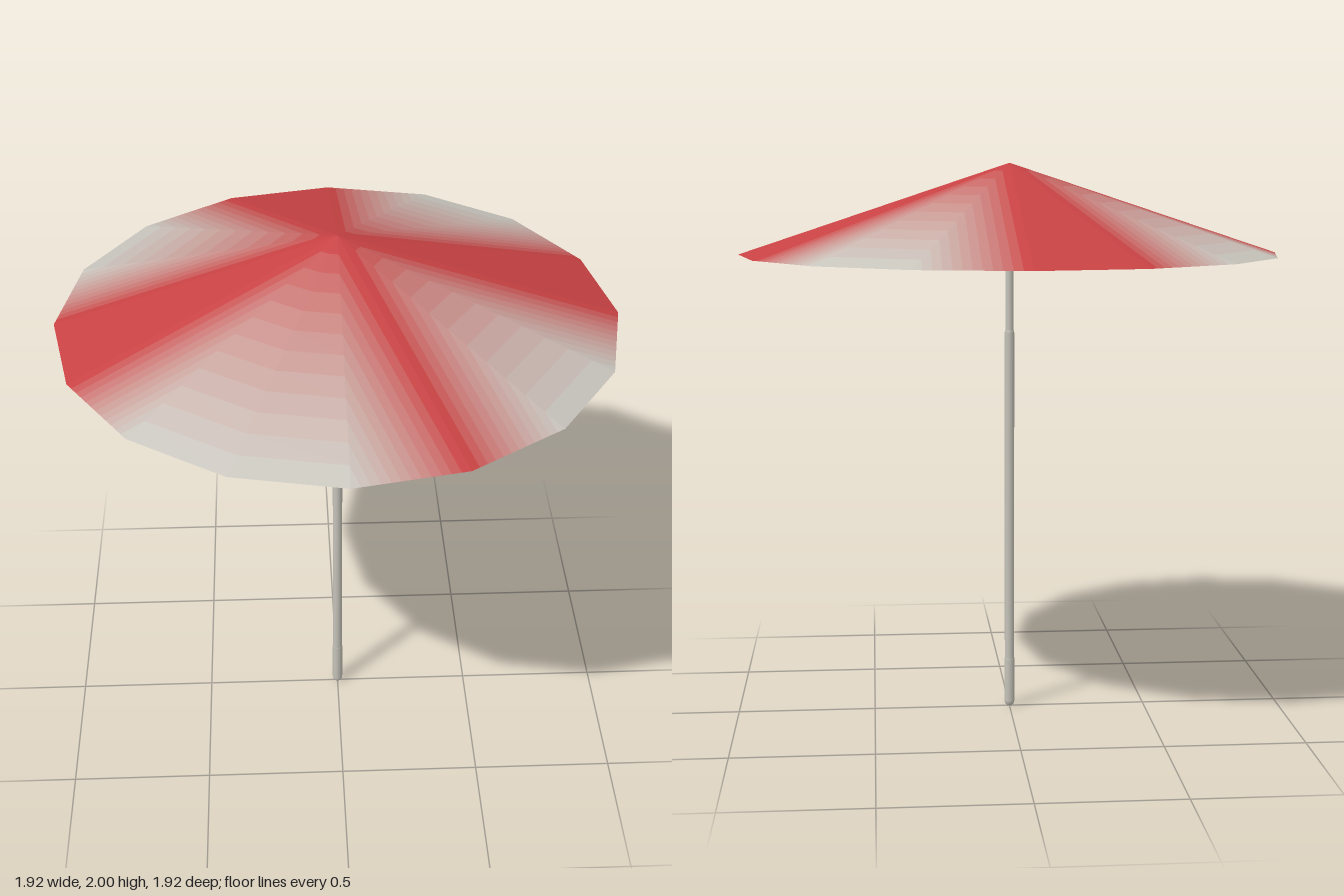
import * as THREE from 'three';

const SIDES = 16, RADIUS = 0.962, RIM_Y = 1.68, TOP_Y = 2, BANDS = 12;
const RED = new THREE.Color(0xc83236), GREY = new THREE.Color(0xc8c8c0);
// Rim corners that are red; the others are grey, and the peak is red
const RED_CORNERS = [0, 3, 7, 8, 11, 12, 15];

const apex = new THREE.Vector3(0, TOP_Y, 0);
const isRed = (k) => RED_CORNERS.includes(k % SIDES);
const corner = (k) => {
  const a = (k / SIDES) * Math.PI * 2;
  return new THREE.Vector3(Math.cos(a) * RADIUS, RIM_Y, Math.sin(a) * RADIUS);
};
const mix = (a, b, t) => new THREE.Vector3().lerpVectors(a, b, t);

// Canopy: flat panels, each cut into bands that fade from red to grey
function createCanopy() {
  const canopy = new THREE.Group();
  canopy.name = 'canopy';
  const bands = Array.from({ length: BANDS }, () => []);

  for (let k = 0; k < SIDES; k++) {
    const p = corner(k), q = corner(k + 1);
    const redP = isRed(k), redQ = isRed(k + 1);
    if (redP && redQ) {
      bands[0].push(apex, q, p);
      continue;
    }
    // Both ends of the line of equal colour at fade t
    const endQ = (t) => (redQ ? mix(q, p, t) : mix(apex, q, t));
    const endP = (t) => (redP ? mix(p, q, t) : mix(apex, p, t));
    for (let i = 0; i < BANDS; i++) {
      const t0 = i / BANDS, t1 = (i + 1) / BANDS;
      const a0 = endQ(t0), a1 = endQ(t1), b0 = endP(t0), b1 = endP(t1);
      if (a1.distanceTo(b1) > 1e-6) bands[i].push(a0, a1, b1);
      if (a0.distanceTo(b0) > 1e-6) bands[i].push(a0, b1, b0);
    }
  }

  bands.forEach((points, i) => {
    const geometry = new THREE.BufferGeometry().setFromPoints(points);
    geometry.computeVertexNormals();
    const material = new THREE.MeshStandardMaterial({ side: THREE.DoubleSide });
    material.color.lerpColors(RED, GREY, (i + 0.5) / BANDS);
    const mesh = new THREE.Mesh(geometry, material);
    mesh.name = `canopyFade${i + 1}`;
    canopy.add(mesh);
  });
  return canopy;
}

// Pole sections are turned from (radius, height) profiles
function turned(name, profile) {
  const points = profile.map(([r, y]) => new THREE.Vector2(r, y));
  const mesh = new THREE.Mesh(
    new THREE.LatheGeometry(points, 16),
    new THREE.MeshStandardMaterial({ color: 0xc4c2b8 })
  );
  mesh.name = name;
  return mesh;
}

export function createModel() {
  const model = new THREE.Group();
  model.name = 'parasol';
  model.add(
    createCanopy(),
    // Foot with a rounded end
    turned('poleFoot', [[0, 0], [0.011, 0.003], [0.017, 0.011], [0.019, 0.022], [0.019, 0.18], [0.017, 0.185]]),
    turned('lowerPole', [[0.0175, 0.18], [0.0175, 1.395], [0.015, 1.405]]),
    // Slimmer upper tube, closed just under the peak
    turned('upperPole', [[0.015, 1.4], [0.015, 1.885], [0.013, 1.89], [0, 1.89]])
  );
  return model;
}
